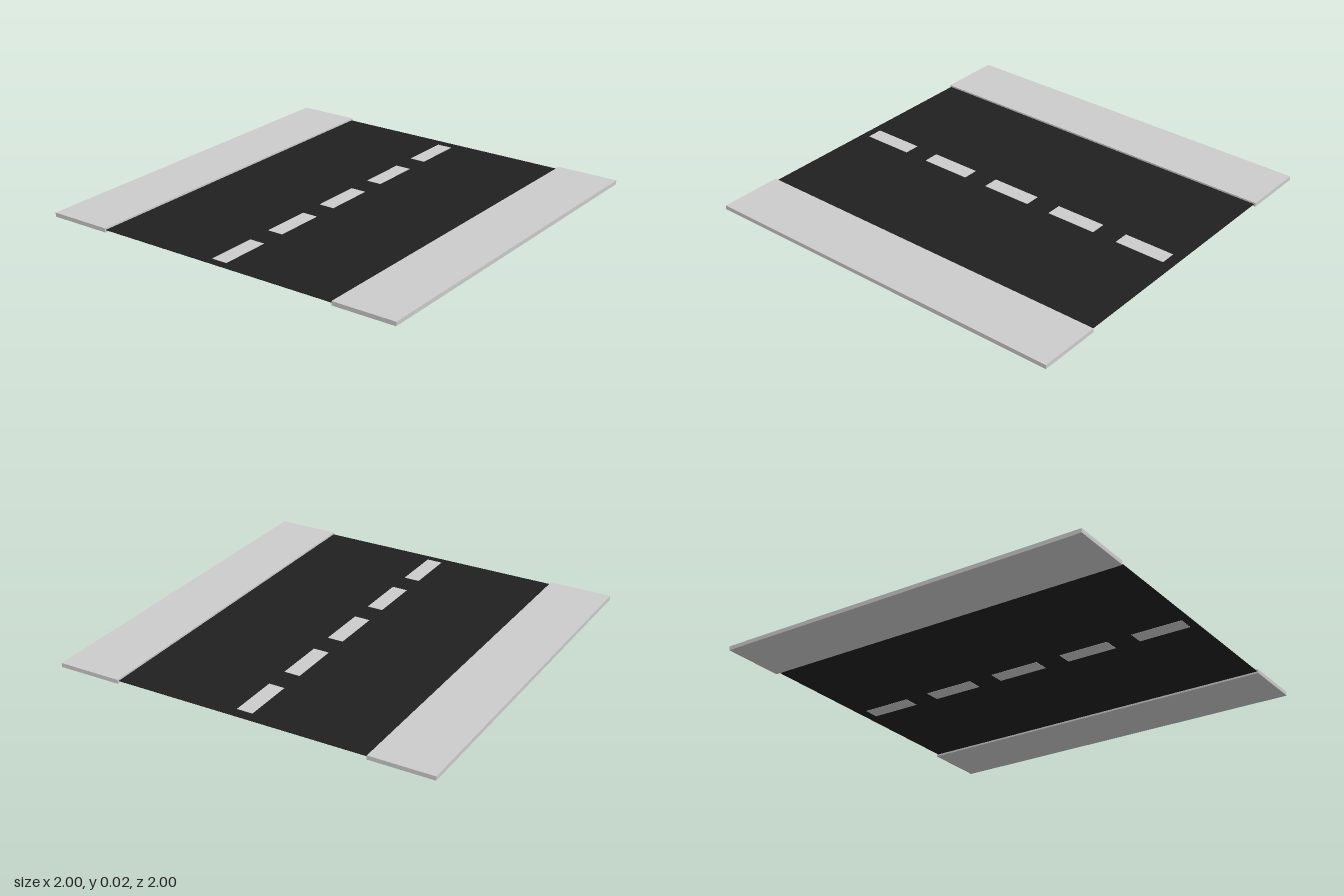
import * as THREE from 'three';

export function createModel() {
  const model = new THREE.Group();
  const grey = new THREE.MeshStandardMaterial({ color: 0xcccccc });
  const asphalt = new THREE.MeshStandardMaterial({ color: 0x202020 });

  const addBox = (name, size, position, material) => {
    const mesh = new THREE.Mesh(new THREE.BoxGeometry(...size), material);
    mesh.name = name;
    mesh.position.set(...position);
    model.add(mesh);
  };

  // Thin road surface, held midway up the kerbs
  const roadY = 0.011;
  addBox('roadSurface', [1.334, 0.002, 1.985], [0, roadY, 0.002], asphalt);

  // Raised pavements along both sides
  const paveWidth = 0.333, paveHeight = 0.021;
  for (const [name, side] of [['leftPavement', 1], ['rightPavement', -1]]) {
    addBox(name, [paveWidth, paveHeight, 2], [side * (1 - paveWidth / 2), paveHeight / 2, 0], grey);
  }

  // Dashed centre line, showing through on the underside too
  const dashes = 5, spacing = 0.404;
  for (let i = 0; i < dashes; i++) {
    const z = (i - (dashes - 1) / 2) * spacing + 0.008;
    addBox(`laneDash${i + 1}`, [0.083, 0.005, 0.27], [0, roadY, z], grey);
  }

  return model;
}
